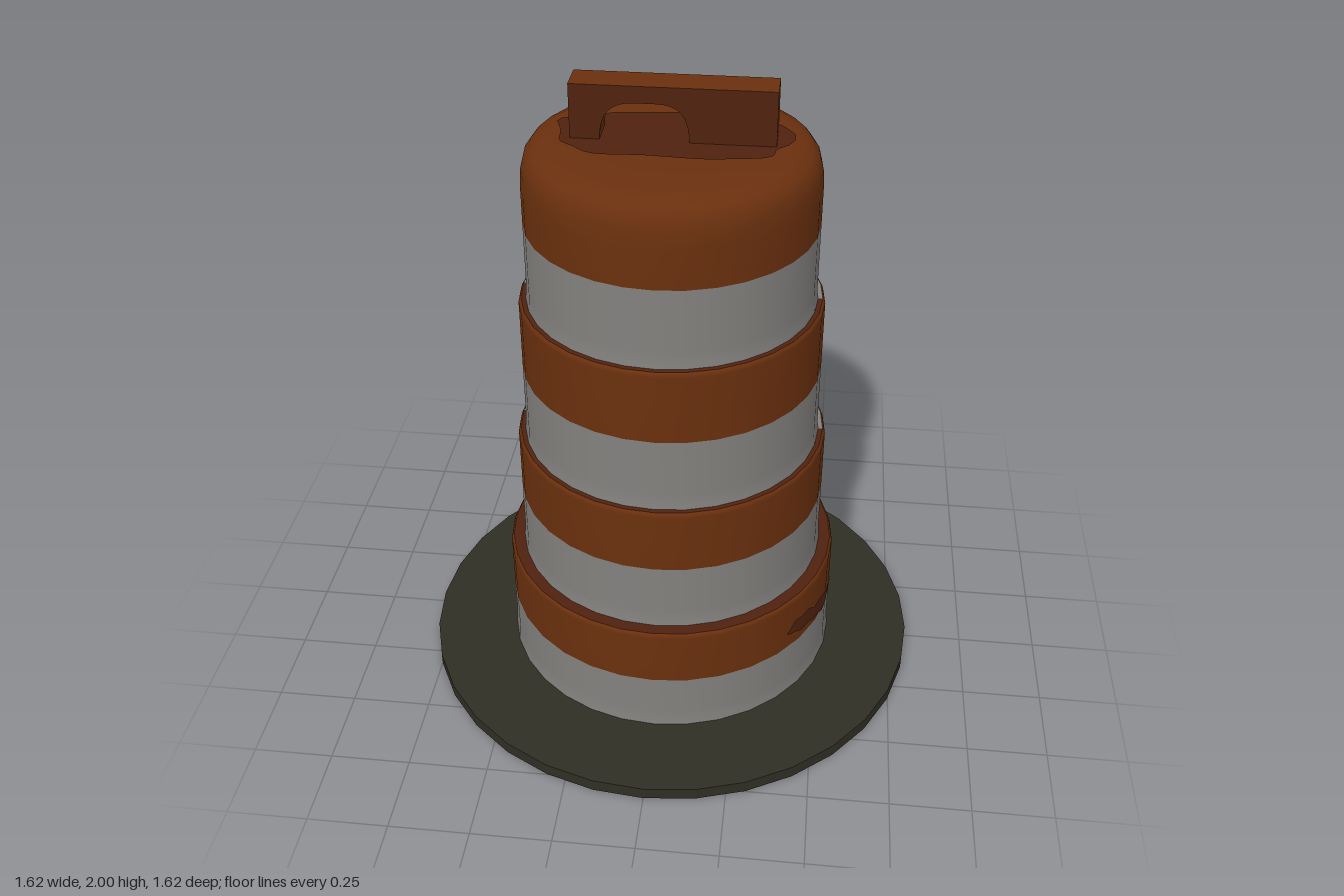
import * as THREE from 'three';

const SIDES = 32;
const mat = (name, color) => {
  const m = new THREE.MeshStandardMaterial({ color });
  m.name = name;
  return m;
};

export function createModel() {
  const orange = mat('orange plastic', 0x6a300e);
  const stain = mat('scuffed orange', 0x50220f);
  const grey = mat('reflective grey', 0x83817e);
  const rubber = mat('dark rubber', 0x2f2e25);

  const model = new THREE.Group();
  model.name = 'trafficDrum';
  const add = (name, geometry, material, parent = model) => {
    const mesh = new THREE.Mesh(geometry, material);
    mesh.name = name;
    parent.add(mesh);
    return mesh;
  };
  // Lathe from [radius, y] pairs, bottom to top
  const lathe = (pts, start = 0, length = Math.PI * 2) => new THREE.LatheGeometry(
    pts.map(([r, y]) => new THREE.Vector2(r, y)), length < 4 ? SIDES / 2 : SIDES, start, length);

  // Rubber foot
  const base = add('base', new THREE.CylinderGeometry(0.81, 0.81, 0.04, SIDES), rubber);
  base.position.y = 0.02;

  // Stepped tiers: radius, bottom, colour change, top
  const tiers = [
    [0.537, 0.04, 0.23, 0.42],
    [0.489, 0.42, 0.643, 0.855],
    [0.463, 0.855, 1.095, 1.33],
    [0.437, 1.33, 1.58, 1.835],
  ];
  tiers.forEach(([r, y0, y1, y2], i) => {
    const tier = new THREE.Group();
    tier.name = `tier${i + 1}`;
    model.add(tier);
    add('reflectiveBand', lathe([[r + 0.004, y0], [r + 0.001, y0 + 0.025], [r, y0 + 0.05], [r, y1]]), grey, tier);
    if (i < 3) {
      add('orangeBand', lathe([[r, y1], [r, y2 - 0.015], [r - 0.003, y2 - 0.005], [r - 0.008, y2]]), orange, tier);
      // Ledge up to the next tier, front and back halves
      const ring = [[r - 0.008, y2], [tiers[i + 1][0] - 0.002, y2 + 0.001]];
      add('frontLedge', lathe(ring, -Math.PI / 2, Math.PI), stain, tier);
      add('backLedge', lathe(ring, Math.PI / 2, Math.PI), i ? grey : stain, tier);
    } else {
      // Rounded lid
      add('lid', lathe([[r, y1], [r, 1.70], [r - 0.003, 1.75], [r - 0.012, 1.785], [r - 0.03, 1.81],
        [r - 0.06, 1.825], [r - 0.1, 1.832], [0.2, 1.835], [0, 1.835]]), orange, tier);
    }
  });

  // Irregular scuff around the handle
  const outline = [];
  for (let i = 0; i < 48; i++) {
    const a = (i / 48) * Math.PI * 2, c = Math.cos(a), s = Math.sin(a);
    const wobble = 1 + 0.04 * Math.sin(5 * a) + 0.03 * Math.cos(9 * a);
    outline.push(new THREE.Vector2(
      0.005 + 0.335 * Math.sign(c) * Math.abs(c) ** 0.8 * wobble,
      0.155 * Math.sign(s) * Math.abs(s) ** 0.7 * wobble));
  }
  const lidScuff = add('lidScuff', new THREE.ShapeGeometry(new THREE.Shape(outline)), stain);
  lidScuff.rotation.x = -Math.PI / 2;
  lidScuff.position.y = 1.8385;

  // Carry handle with an arched opening
  const h = new THREE.Shape();
  h.moveTo(-0.285, 1.83);
  h.lineTo(-0.2, 1.83);
  h.bezierCurveTo(-0.2, 1.92, -0.165, 1.95, -0.1, 1.95);
  h.lineTo(-0.04, 1.95);
  h.bezierCurveTo(0.025, 1.95, 0.055, 1.92, 0.055, 1.83);
  h.lineTo(0.3, 1.83);
  h.lineTo(0.3, 2);
  h.lineTo(-0.285, 2);
  h.closePath();
  const handle = new THREE.ExtrudeGeometry(h, { depth: 0.104, bevelEnabled: false, curveSegments: 8 });
  handle.translate(0, 0, -0.052);
  add('handle', handle, [stain, orange]);

  // Scuff wrapped round the lowest orange band
  const low = [0.28, 0.27, 0.24, 0.235, 0.25, 0.255, 0.27, 0.265, 0.28, 0.29];
  const high = [0.285, 0.295, 0.29, 0.30, 0.31, 0.305, 0.33, 0.325, 0.33, 0.295];
  const scuff = new THREE.PlaneGeometry(1, 1, low.length - 1, 1);
  const p = scuff.attributes.position;
  for (let i = 0; i < p.count; i++) {
    const k = i % low.length;
    const a = 0.86 + (k / (low.length - 1)) * 0.62;
    p.setXYZ(i, 0.541 * Math.sin(a), i < low.length ? high[low.length - 1 - k] : low[low.length - 1 - k], 0.541 * Math.cos(a));
  }
  scuff.computeVertexNormals();
  add('sideScuff', scuff, stain);

  return model;
}
